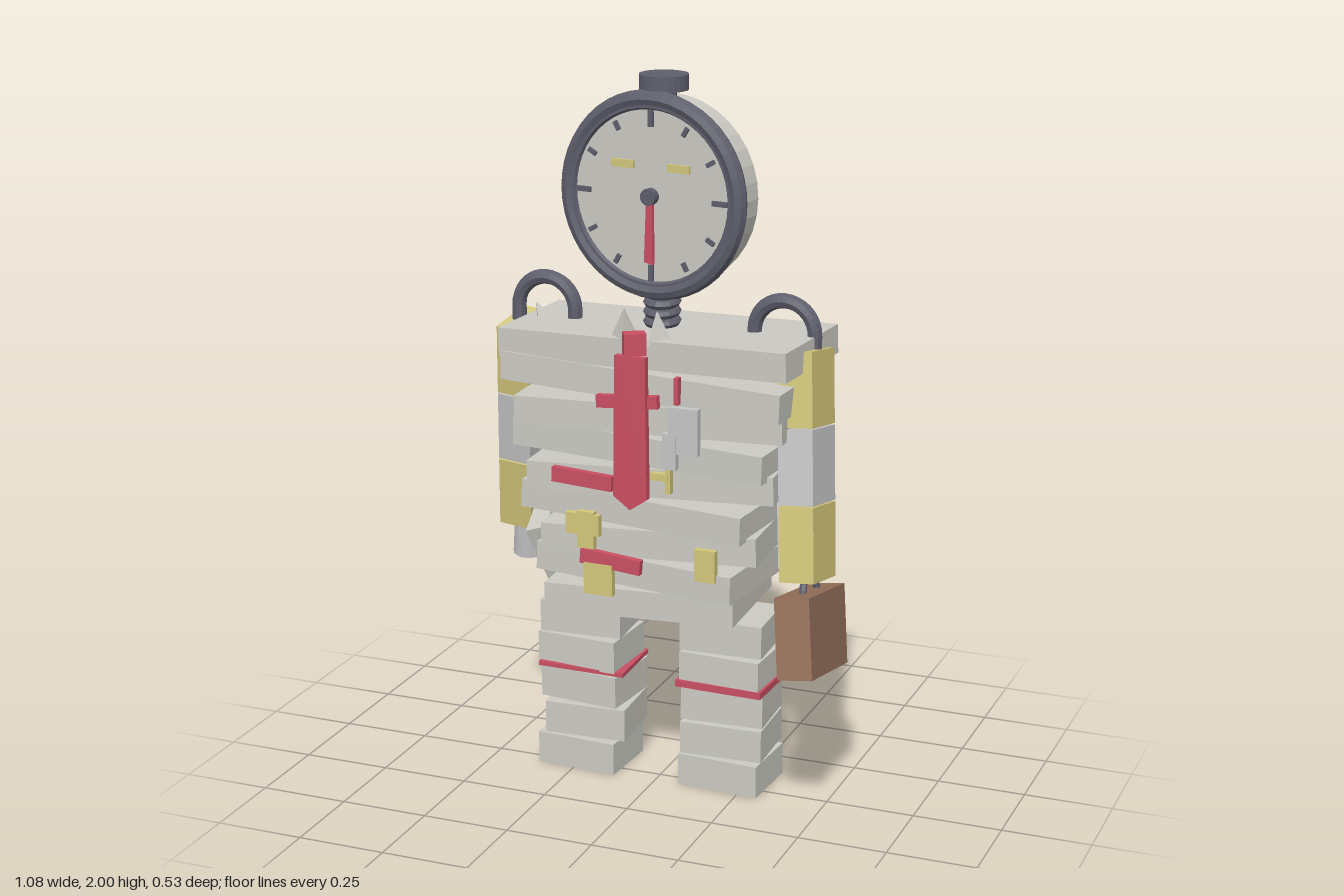
import * as THREE from 'three';

const mat = (name, color, flatShading = true) => {
  const m = new THREE.MeshStandardMaterial({ color, flatShading });
  m.name = name;
  return m;
};

export function createModel() {
  const paper = mat('paper', 0xcbcac3);
  const silver = mat('silver', 0xc6c6c6);
  const steel = mat('darkSteel', 0x5e5f6c);
  const yellow = mat('yellowCard', 0xd3c77c);
  const red = mat('redRibbon', 0xca4f62);
  const brown = mat('brownLeather', 0x95705a);

  const model = new THREE.Group();
  const add = (parent, name, geo, material, p = [0, 0, 0], r = [0, 0, 0]) => {
    const m = new THREE.Mesh(geo, material);
    m.name = name;
    m.position.set(...p);
    m.rotation.set(...r);
    parent.add(m);
    return m;
  };
  const box = (parent, name, s, material, p, r) =>
    add(parent, name, new THREE.BoxGeometry(...s), material, p, r);
  const group = (name, p = [0, 0, 0], r = [0, 0, 0]) => {
    const g = new THREE.Group();
    g.name = name;
    g.position.set(...p);
    g.rotation.set(...r);
    model.add(g);
    return g;
  };

  // Torso: crooked stack of slabs, [centre x, y, width, yaw, roll]
  const torso = group('torso');
  [
    [0.003, 1.272, 0.86, -0.077, 0.03],
    [-0.005, 1.182, 0.83, -0.06, -0.035],
    [0.005, 1.092, 0.77, 0.03, 0.02],
    [-0.01, 1.003, 0.75, -0.07, -0.025],
    [0.01, 0.915, 0.71, 0.04, 0.035],
    [-0.025, 0.825, 0.67, -0.09, -0.025],
    [0.005, 0.738, 0.62, 0.05, 0.03],
    [-0.015, 0.65, 0.6, -0.1, -0.02],
    [-0.022, 0.56, 0.55, 0.04, 0.025],
  ].forEach(([x, y, w, yaw, roll], i) =>
    box(torso, 'torsoSlab' + (i + 1), [w, 0.08, 0.355], paper, [x, y, -0.045], [0, yaw, roll]));

  // Loose sheets at the sides and upturned corners at the shoulders
  box(torso, 'looseSheetLeft', [0.05, 0.26, 0.11], silver, [0.345, 0.77, -0.12], [-0.25, 0, 0.12]);
  box(torso, 'looseSheetRight', [0.06, 0.18, 0.12], paper, [-0.345, 0.65, -0.03], [0.3, 0.2, 0.25]);
  const spike = new THREE.ConeGeometry(0.045, 0.09, 3);
  [[-0.065, 1.345, 0.1, 0.3], [0.03, 1.345, 0.1, -0.3]].forEach(([x, y, z, ry]) =>
    add(torso, 'collarPoint', spike, paper, [x, y, z], [0, ry, 0]));
  add(torso, 'shoulderCorner', spike, paper, [-0.38, 1.3, -0.06], [0, 0, 0.4]);
  add(torso, 'shoulderCorner', spike, paper, [0.39, 1.25, -0.1], [0, 0, -0.9]);

  // Tie: knot and pointed blade
  const tie = group('tie', [-0.02, 0, 0.15], [0, -0.05, 0]);
  box(tie, 'tieKnot', [0.06, 0.06, 0.04], red, [0, 1.305, -0.01], [0, 0.6, 0]);
  const blade = new THREE.Shape();
  [[-0.045, 1.275], [-0.05, 0.88], [0, 0.845], [0.05, 0.88], [0.045, 1.275]]
    .forEach(([x, y], i) => (i ? blade.lineTo(x, y) : blade.moveTo(x, y)));
  add(tie, 'tieBlade', new THREE.ExtrudeGeometry(blade, { depth: 0.02, bevelEnabled: false }), red);

  // Tags and ribbons on the chest, [material, x, y, w, h, roll]
  const tags = group('chestTags');
  [
    [red, -0.035, 1.145, 0.18, 0.035, 0.08],
    [red, -0.165, 0.915, 0.18, 0.042, -0.05],
    [red, -0.085, 0.685, 0.18, 0.042, -0.08],
    [red, 0.11, 1.19, 0.012, 0.075, 0],
    [silver, 0.13, 1.08, 0.085, 0.13, 0],
    [silver, 0.09, 1.02, 0.04, 0.1, 0],
    [yellow, 0.085, 0.95, 0.015, 0.1, 0],
    [yellow, 0.06, 0.945, 0.05, 0.02, 0],
    [yellow, -0.165, 0.785, 0.1, 0.06, 0],
    [yellow, -0.155, 0.77, 0.05, 0.105, 0],
    [yellow, -0.12, 0.63, 0.085, 0.09, 0],
    [yellow, 0.195, 0.71, 0.06, 0.09, 0],
  ].forEach(([m, x, y, w, h, roll], i) =>
    box(tags, 'chestTag' + (i + 1), [w, h, 0.02], m, [x, y, 0.148 + (i % 2) * 0.002 + Math.abs(x) * 0.04], [0, -0.03, roll]));

  // Legs: five blocks each with a ribbon above the third
  for (const [name, cx, xs, yaws] of [
    ['rightLeg', -0.225, [-0.01, 0.008, 0.003, -0.007, -0.005], [-0.06, 0.05, -0.1, -0.06, 0.06]],
    ['leftLeg', 0.195, [0, 0, 0.002, 0.002, -0.002], [-0.06, 0.04, 0.05, -0.05, 0.04]],
  ]) {
    const leg = group(name, [cx, 0, -0.05]);
    // bottom to top
    [...xs].forEach((x, i) => box(leg, 'legBlock', [0.238, 0.093, 0.196], paper,
      [x, 0.048 + i * 0.103, 0], [0, yaws[i], 0]));
    const left = cx > 0;
    box(leg, 'legRibbon', [0.255, left ? 0.02 : 0.012, 0.208], red,
      [0, 0.31, 0], [0, left ? -0.03 : 0.03, left ? 0 : -0.02]);
  }

  // Arms: three square segments between shoulder and wrist
  const down = new THREE.Vector3(0, -1, 0);
  const arm = (name, top, wrist) => {
    const a = new THREE.Vector3(...top), b = new THREE.Vector3(...wrist);
    const len = a.distanceTo(b);
    const g = group(name, top);
    g.quaternion.setFromUnitVectors(down, b.sub(a).normalize());
    [yellow, silver, yellow].forEach((m, i) =>
      box(g, 'armSegment', [0.1, len / 3 - 0.004, 0.16], m, [0, -len * (i + 0.5) / 3, 0], [0, -0.06, 0]));
    return [g, len];
  };
  arm('leftArm', [0.405, 1.29, -0.035], [0.455, 0.675, 0.068]);
  const [rightArm, armLength] = arm('rightArm', [-0.435, 1.285, -0.075], [-0.482, 0.67, -0.175]);
  add(rightArm, 'rightHand', new THREE.CylinderGeometry(0.04, 0.046, 0.12, 14), silver, [0, -armLength - 0.06, 0]);

  // Briefcase with handle
  const bag = group('briefcase', [0.477, 0.54, 0.095], [-0.19, 0, 0.12]);
  box(bag, 'caseBody', [0.098, 0.22, 0.312], brown);
  add(bag, 'caseHandle', new THREE.TorusGeometry(0.06, 0.01, 6, 12, Math.PI), steel, [0, 0.1, 0], [0, Math.PI / 2, 0]);

  // Shoulder hooks
  for (const [name, x, z] of [['rightHook', -0.367, -0.07], ['leftHook', 0.34, -0.048]]) {
    const hook = group(name, [x, 1.325, z], [0, -0.05, 0]);
    add(hook, 'hookBend', new THREE.TorusGeometry(0.087, 0.021, 8, 18, Math.PI), steel);
    for (const s of [-1, 1])
      add(hook, 'hookEnd', new THREE.CylinderGeometry(0.021, 0.021, 0.05, 8), steel, [s * 0.087, -0.025, 0]);
  }

  // Spring neck
  const neck = group('neck', [-0.015, 0, -0.052]);
  add(neck, 'neckCore', new THREE.CylinderGeometry(0.032, 0.032, 0.14, 12), steel, [0, 1.36, 0]);
  for (let i = 0; i < 4; i++)
    add(neck, 'neckCoil', new THREE.TorusGeometry(0.041, 0.012, 6, 16), steel, [0, 1.325 + i * 0.027, 0], [Math.PI / 2 + 0.1, 0, 0]);

  // Head: dial case with rim, ticks, eyes and hand
  const head = group('head', [-0.02, 1.68, 0], [0, -0.145, 0]);
  add(head, 'dialCase', new THREE.CylinderGeometry(0.262, 0.262, 0.115, 36), paper, [0, 0, -0.0475], [Math.PI / 2, 0, 0]);
  add(head, 'dialRim', new THREE.TorusGeometry(0.261, 0.024, 8, 48), steel, [0, 0, 0.003]);
  add(head, 'dialInnerRim', new THREE.TorusGeometry(0.243, 0.01, 6, 48), steel, [0, 0, 0.012]);
  for (let i = 0; i < 12; i++) {
    const a = i * Math.PI / 6, major = i % 3 === 0;
    box(head, 'dialTick', [major ? 0.014 : 0.012, major ? 0.045 : 0.026, 0.008], steel,
      [Math.sin(a) * 0.21, Math.cos(a) * 0.21, 0.014], [0, 0, -a]);
  }
  for (const s of [-1, 1])
    box(head, 'dialEye', [0.068, 0.021, 0.009], yellow, [s * 0.086, 0.082, 0.015]);
  const hand = new THREE.Shape();
  [[-0.009, 0], [-0.016, -0.18], [0.012, -0.185], [0.009, 0]]
    .forEach(([x, y], i) => (i ? hand.lineTo(x, y) : hand.moveTo(x, y)));
  add(head, 'dialHand', new THREE.ExtrudeGeometry(hand, { depth: 0.01, bevelEnabled: false }), red, [0, 0, 0.014]);
  add(head, 'dialHub', new THREE.CylinderGeometry(0.023, 0.023, 0.03, 14), steel, [0, 0, 0.018], [Math.PI / 2, 0, 0]);

  // Winding knob on top
  const knob = group('windingKnob', [-0.012, 0, -0.055]);
  add(knob, 'knobCap', new THREE.CylinderGeometry(0.067, 0.067, 0.042, 24), steel, [0, 1.979, 0]);
  add(knob, 'knobStem', new THREE.CylinderGeometry(0.035, 0.035, 0.05, 12), steel, [0, 1.945, 0]);

  return model;
}
